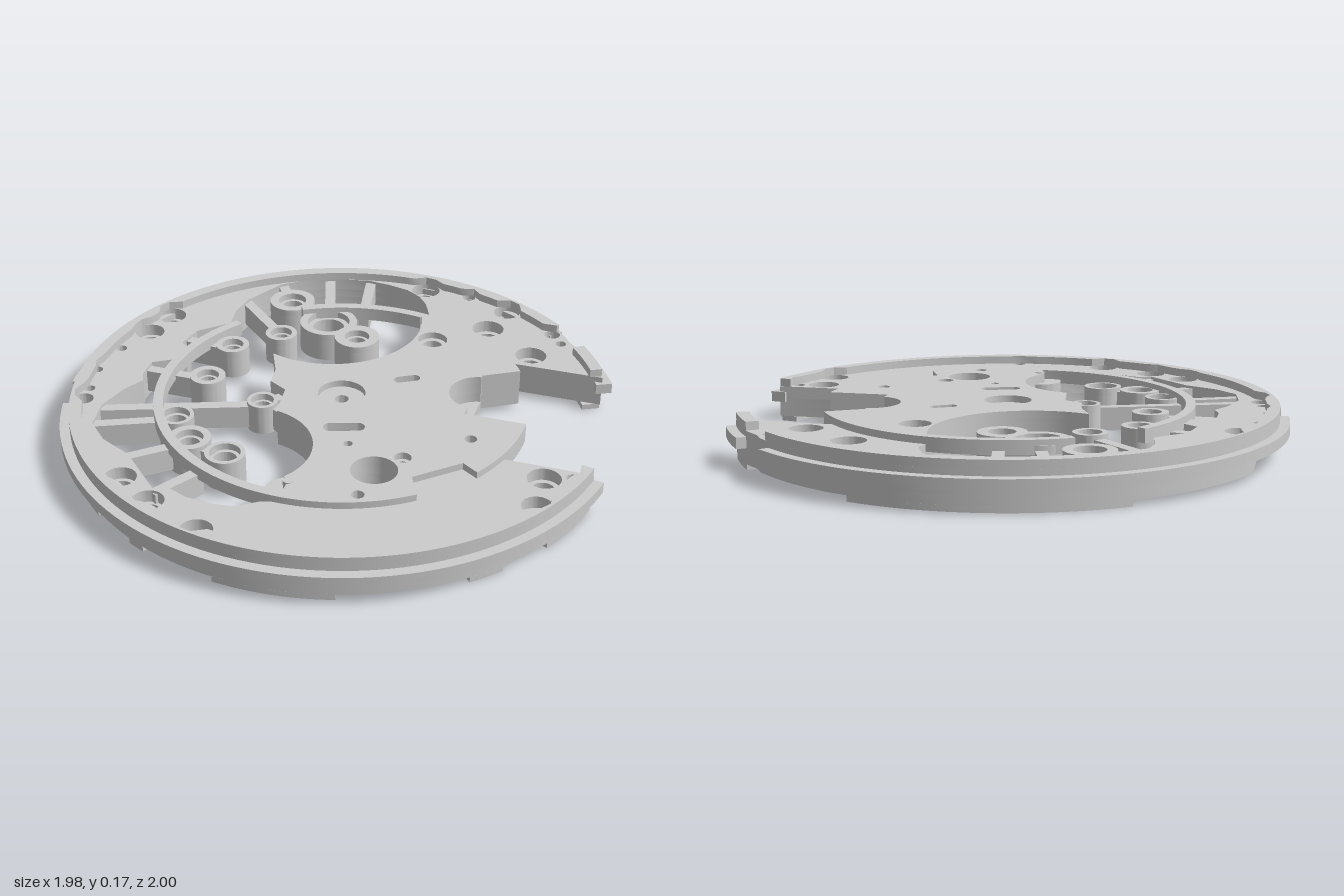
import * as THREE from 'three';
import { toCreasedNormals } from 'three/addons/utils/BufferGeometryUtils.js';

// All plan coordinates are [x, z]; angles run from +x towards +z.
const arc = (cx, cz, r, a0, a1) => {
  const n = Math.max(6, Math.ceil(Math.abs(a1 - a0) / 0.045 * Math.min(1, r + 0.3)));
  return Array.from({ length: n + 1 }, (_, i) => {
    const a = a0 + (a1 - a0) * i / n;
    return [cx + r * Math.cos(a), cz + r * Math.sin(a)];
  });
};
const circle = (x, z, r) => arc(x, z, r, 0, Math.PI * 2).slice(0, -1);
const capsule = (x0, z0, x1, z1, r) => {
  const a = Math.atan2(z1 - z0, x1 - x0), q = Math.PI / 2;
  return [...arc(x1, z1, r, a - q, a + q), ...arc(x0, z0, r, a + q, a + 3 * q)];
};
// Plan points as a loop with a fixed winding, so that every wall faces outwards
const loop = (pts, clockwise) => {
  const v = pts.map(([x, z]) => new THREE.Vector2(x, -z));
  return THREE.ShapeUtils.isClockWise(v) === clockwise ? v : v.reverse();
};

export function createModel() {
  const group = new THREE.Group();
  const material = new THREE.MeshStandardMaterial({ color: 0xcccccc });
  const TAU = Math.PI * 2;

  // Flat slab from a plan outline between two heights
  const slab = (name, outline, holes, y0, y1) => {
    const shape = new THREE.Shape(loop(outline, false));
    shape.holes = holes.map((h) => new THREE.Path(loop(h, true)));
    const geo = new THREE.ExtrudeGeometry(shape, { depth: y1 - y0, bevelEnabled: false });
    geo.rotateX(-Math.PI / 2).translate(0.006, y0, 0);
    const mesh = new THREE.Mesh(toCreasedNormals(geo, 0.5), material);
    mesh.name = name;
    group.add(mesh);
  };
  const sector = (name, r0, r1, a0, a1, y0, y1) =>
    slab(name, [...arc(0, 0, r1, a0, a1), ...arc(0, 0, r0, a1, a0)], [], y0, y1);

  // Counterbored holes: x, z, counterbore radius, bore radius
  const outerHoles = [
    [0.07, -0.89, 0.055, 0.04], [0.42, -0.81, 0.05, 0.04], [0.38, -0.66, 0.06, 0.04],
    [0.58, -0.51, 0.058, 0.04], [0.79, 0.27, 0.058, 0.04], [0.8, 0.43, 0.053, 0.04],
    [-0.82, -0.385, 0.055, 0.04], [-0.85, -0.24, 0.055, 0.038], [-0.88, 0.28, 0.035, 0.03],
    [-0.55, 0.69, 0.055, 0.04], [-0.41, 0.785, 0.055, 0.04], [-0.2, 0.885, 0.055, 0.04],
    [0.155, 0.9, 0.025, 0.02], [0.25, -0.885, 0.025, 0.02], [0.625, -0.69, 0.03, 0.03],
    [0.67, -0.63, 0.02, 0.02], [0.88, 0.24, 0.022, 0.02], [-0.9, -0.09, 0.02, 0.02],
    [-0.92, 0.08, 0.02, 0.02], [-0.89, 0.21, 0.02, 0.02],
  ];
  const discHoles = [
    [0, 0, 0.085, 0.025], [0.25, 0.43, 0.08, 0.08], [0.21, -0.47, 0.055, 0.035],
    [0.51, 0.15, 0.022, 0.022], [0.32, 0.33, 0.03, 0.015], [0.24, 0.58, 0.022, 0.022],
    [0.12, 0.305, 0.016, 0.016],
  ];
  const slot = capsule(0.03, 0.225, 0.12, 0.195, 0.025);

  // Edge shared by the centre disc and the large side opening
  const innerEdge = [
    ...arc(-0.2, -0.51, 0.345, -0.4, 1.95),
    [-0.28, -0.08], [-0.27, 0], [-0.2, 0.04], [-0.19, 0.12],
    ...arc(-0.22, 0.42, 0.24, -1.4, 0.6), [0, 0.58], [0, 0.66],
  ];
  const opening = [
    ...innerEdge, [-0.06, 0.68], [-0.13, 0.73], [-0.2, 0.74], [-0.3, 0.73], [-0.37, 0.7],
    [-0.42, 0.72], [-0.58, 0.56], [-0.7, 0.5], [-0.78, 0.42], [-0.8, 0.3], [-0.77, 0.18],
    [-0.73, 0.1], [-0.75, 0.05], [-0.75, -0.03], [-0.64, -0.1], [-0.65, -0.16], [-0.7, -0.2],
    [-0.68, -0.3], [-0.58, -0.4], [-0.595, -0.5], [-0.58, -0.6], [-0.5, -0.76], [-0.41, -0.83],
    [-0.32, -0.87], [-0.17, -0.9], [-0.08, -0.89], [0, -0.87], [0.06, -0.83], [0.1, -0.78], [0.135, -0.7],
  ];

  // Base plate with the side notch: the corner by the notch overhangs,
  // and a round pocket is sunk from above
  const pocket = arc(0.47, -0.15, 0.11, -1.75, -4.53);
  const corner = [[0.45, 0], ...arc(0, 0, 0.67, 0, 0.303)];
  const undercut = [[0.45, 0], [0.46, 0.06], [0.51, 0.13], [0.58, 0.18], [0.64, 0.2]];
  const plan = (pocketEdge, cornerEdge) => [
    ...arc(0, 0, 0.965, 0.209, TAU - 0.82), [0.675, -0.69], [0.7, -0.65],
    ...arc(0, 0, 0.965, -0.67, -0.462),
    [0.5, -0.43], [0.575, -0.345], [0.45, -0.27], ...pocketEdge, ...cornerEdge,
  ];
  const clipSide = (pts) => pts.map(([x, z]) => [Math.max(x, -0.9), z]);
  const allHoles = [...outerHoles, ...discHoles];
  const bores = allHoles.filter((h) => h[0] > -0.86).map(([x, z, , r]) => circle(x, z, r));
  slab('basePlateBottom', clipSide(plan([], undercut)), [opening, slot, ...bores], 0.02, 0.055);
  slab('basePlateMiddle', clipSide(plan(pocket, undercut)), [opening, slot, ...bores], 0.055, 0.09);
  slab('basePlateTop', plan(pocket, corner), [opening, slot,
    ...outerHoles.map(([x, z, R]) => circle(x, z, R)),
    ...discHoles.map(([x, z, , r]) => circle(x, z, r))], 0.09, 0.135);

  // Interrupted foot ring under the rim
  for (const [a0, a1] of [[0.22, 0.5], [0.7, 0.83], [1.28, 1.7], [1.99, 2.06], [2.26, 2.7],
    [-0.66, -0.47], [-2.2, -1.25]])
    sector('foot', 0.9, 0.965, a0, a1, 0, 0.02);

  // Raised centre disc
  const disc = [
    ...arc(0, 0, 0.67, -1.39, -0.54), [0.45, -0.27], ...pocket, [0.45, 0],
    ...arc(0, 0, 0.67, 0, 0.53), [0.52, 0.3], [0.38, 0.43], [0.42, 0.52],
    ...arc(0, 0, 0.67, 0.89, 1.57), ...innerEdge.slice().reverse(),
  ];
  slab('centreDisc', disc, [slot, capsule(0.17, -0.15, 0.22, -0.18, 0.02),
    ...discHoles.map(([x, z, R]) => circle(x, z, R))], 0.135, 0.16);

  // Raised rim, its inner edge bitten by the counterbores
  const rim = (a0, a1) => {
    const inner = arc(0, 0, 1, a1, a0).map(([c, s]) => {
      let r = 0.92;
      for (const [x, z, R] of outerHoles) {
        const along = x * c + z * s, off = x * s - z * c;
        if (along > 0 && Math.abs(off) < R) r = Math.max(r, along + Math.sqrt(R * R - off * off));
      }
      r = Math.min(r, 0.955);
      return [c * r, s * r];
    });
    slab('rim', [...arc(0, 0, 0.965, a0, a1), ...inner], [], 0.135, 0.165);
  };
  rim(0.215, TAU - 0.84);
  rim(-0.66, -0.475);

  // Outer flange, broken at the notch, the scallop and the side key
  for (const [a0, a1] of [[0.205, Math.PI - 0.305], [Math.PI - 0.155, TAU - 0.86], [-0.66, -0.45]])
    sector('flange', 0.94, 1, a0, a1, 0.075, 0.114);

  // Thin ring crossing the opening
  sector('openRing', 0.635, 0.67, -2.12, -1.38, 0.11, 0.16);
  sector('openRing', 0.635, 0.67, 1.55, TAU - 2.53, 0.11, 0.16);

  // Bosses in the opening: x, z, outer radius, bore radius
  const bosses = [
    [-0.41, -0.64, 0.088, 0.04], [-0.22, -0.52, 0.11, 0.06], [-0.08, -0.44, 0.085, 0.035],
    [-0.365, -0.38, 0.06, 0.03], [-0.51, -0.24, 0.062, 0.03], [-0.515, 0, 0.065, 0.03],
    [-0.52, 0.285, 0.063, 0.036], [-0.42, 0.405, 0.075, 0.036], [-0.27, 0.455, 0.07, 0.04],
    [-0.265, 0.1, 0.055, 0.03],
  ];
  for (const [x, z, R, r] of bosses) {
    slab('boss', circle(x, z, R), [circle(x, z, r)], 0.03, 0.115);
    slab('bossLip', circle(x, z, R), [circle(x, z, r * 1.35)], 0.115, 0.14);
  }

  // Spokes tying ring and bosses to the plate: x0, z0, x1, z1
  const spokes = [
    [-0.33, -0.88, -0.25, -0.63], [-0.165, -0.91, -0.115, -0.64], [-0.5, -0.78, -0.455, -0.71],
    [-0.6, -0.61, -0.4, -0.42], [-0.72, -0.25, -0.56, -0.24], [-0.77, 0, -0.57, 0],
    [-0.82, 0.31, -0.31, 0.12], [-0.79, 0.41, -0.57, 0.31], [-0.6, 0.57, -0.47, 0.455],
    [-0.42, 0.73, -0.32, 0.56], [-0.24, 0.06, -0.19, 0], [-0.22, 0.1, -0.16, 0.14],
    [-0.36, 0.43, -0.32, 0.445], [-0.16, -0.48, -0.13, -0.46],
  ];
  for (const [x0, z0, x1, z1] of spokes) {
    const l = Math.hypot(x1 - x0, z1 - z0), nx = -(z1 - z0) / l * 0.02, nz = (x1 - x0) / l * 0.02;
    slab('spoke', [[x0 + nx, z0 + nz], [x1 + nx, z1 + nz], [x1 - nx, z1 - nz], [x0 - nx, z0 - nz]],
      [], 0.04, 0.125);
  }

  // Round pad and pin at the end of the ring
  slab('ringPad', circle(0, 0.585, 0.08), [], 0.05, 0.125);
  slab('pin', circle(0, 0.575, 0.018), [], 0.12, 0.163);

  return group;
}
